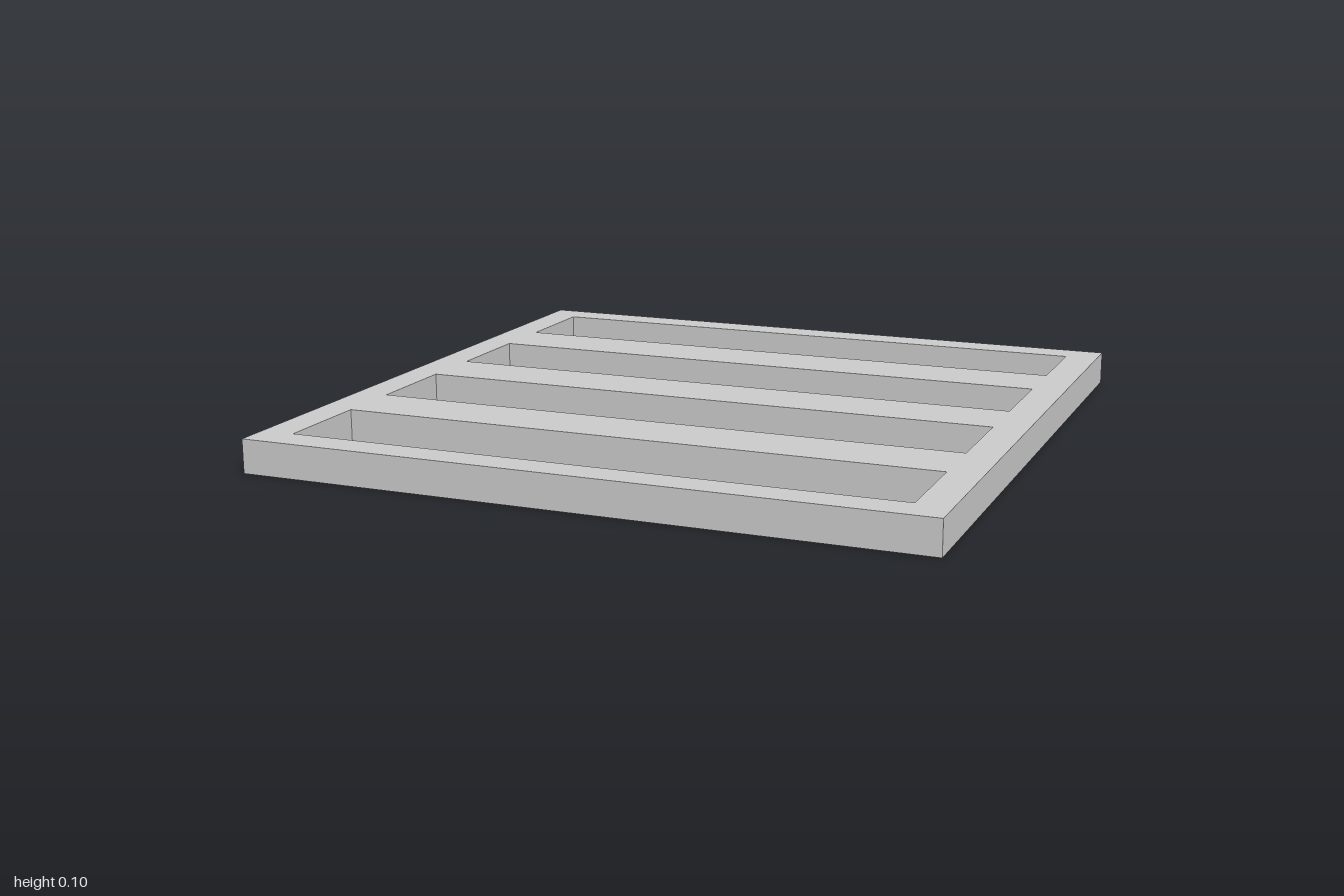
import * as THREE from 'three';

const SIZE = 2, THICKNESS = 0.1, BORDER = 0.1;
const SLOT_DEPTH = 0.3, SLOT_PITCH = 0.5, SLOT_COUNT = 4;

// Adds a counter-clockwise rectangle centred on (0, cy) to a shape or path
function rectangle(path, width, height, cy = 0) {
  const w = width / 2, h = height / 2;
  path.moveTo(-w, cy - h);
  path.lineTo(w, cy - h);
  path.lineTo(w, cy + h);
  path.lineTo(-w, cy + h);
  path.closePath();
  return path;
}

export function createModel() {
  const group = new THREE.Group();
  group.name = 'slattedPanel';

  // Square panel outline with evenly spaced slots
  const outline = rectangle(new THREE.Shape(), SIZE, SIZE);
  for (let i = 0; i < SLOT_COUNT; i++) {
    const z = (i - (SLOT_COUNT - 1) / 2) * SLOT_PITCH;
    outline.holes.push(rectangle(new THREE.Path(), SIZE - 2 * BORDER, SLOT_DEPTH, z));
  }

  // Frame and slats in one piece, laid flat on the ground
  const geometry = new THREE.ExtrudeGeometry(outline, { depth: THICKNESS, bevelEnabled: false });
  geometry.rotateX(-Math.PI / 2);
  const panel = new THREE.Mesh(
    geometry,
    new THREE.MeshStandardMaterial({ color: 0xcccccc, flatShading: true })
  );
  panel.name = 'slattedFrame';
  group.add(panel);

  return group;
}
